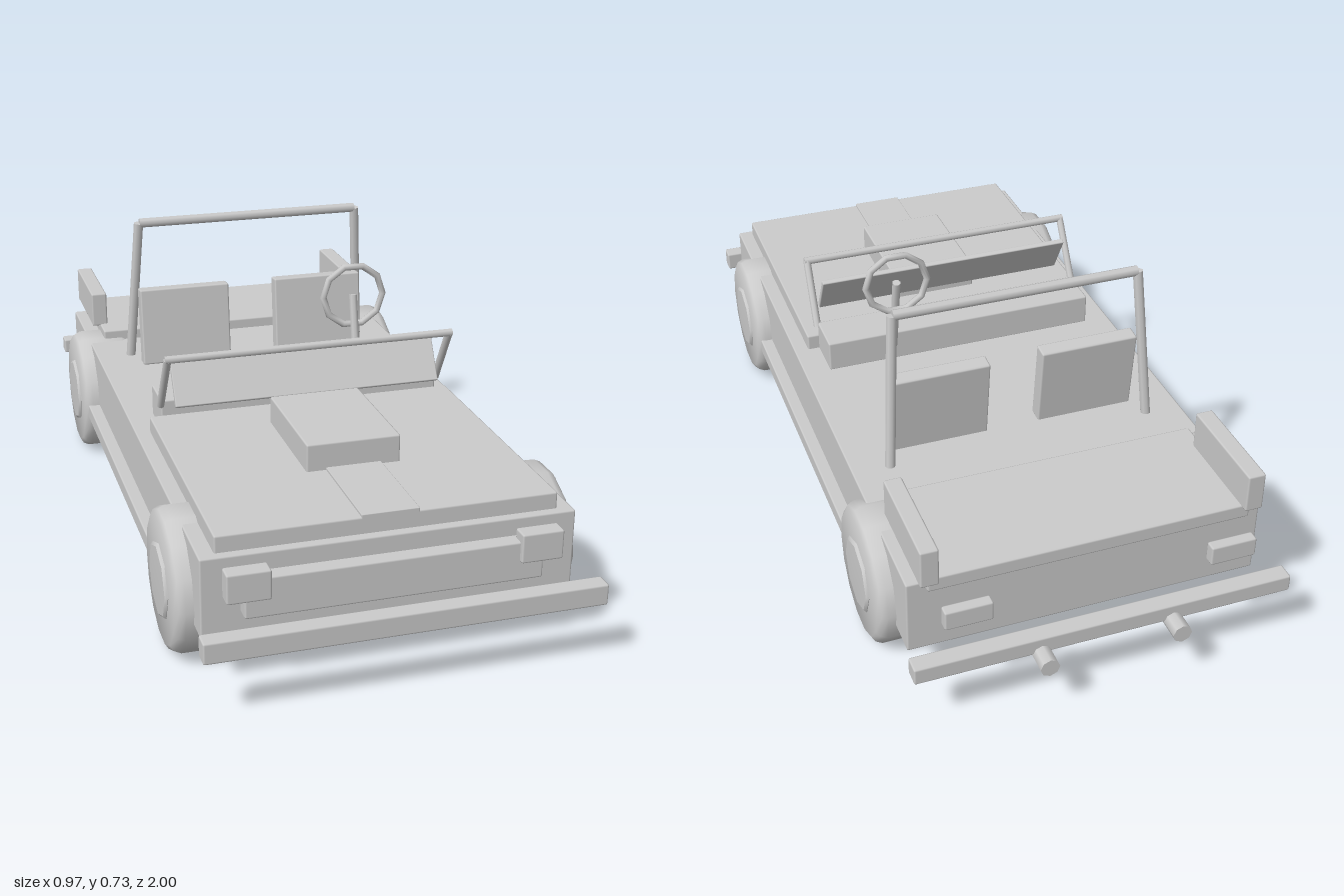
import * as THREE from 'three';
import { RoundedBoxGeometry } from 'three/addons/geometries/RoundedBoxGeometry.js';
import { toCreasedNormals } from 'three/addons/utils/BufferGeometryUtils.js';

const material = new THREE.MeshStandardMaterial({ color: 0xcccccc });

export function createModel() {
  const model = new THREE.Group();

  function add(name, geometry, parent = model) {
    const mesh = new THREE.Mesh(geometry, material);
    mesh.name = name;
    parent.add(mesh);
    return mesh;
  }

  // Softly bevelled box given by its limits on each axis
  function box(name, [x0, x1], [y0, y1], [z0, z1], bevel = 0.005) {
    const mesh = add(name, new RoundedBoxGeometry(x1 - x0, y1 - y0, z1 - z0, 1, bevel));
    mesh.position.set((x0 + x1) / 2, (y0 + y1) / 2, (z0 + z1) / 2);
    return mesh;
  }

  // Round bar between two points
  function bar(name, from, to, radius) {
    const a = new THREE.Vector3(...from), b = new THREE.Vector3(...to);
    const mesh = add(name, new THREE.CylinderGeometry(radius, radius, a.distanceTo(b), 8));
    mesh.position.copy(a).lerp(b, 0.5);
    mesh.quaternion.setFromUnitVectors(new THREE.Vector3(0, 1, 0), b.sub(a).normalize());
    return mesh;
  }

  const both = (x0, x1, s) => (s > 0 ? [x0, x1] : [-x1, -x0]);

  // Body, hood and rear deck
  box('body', [-0.432, 0.432], [0.135, 0.328], [-0.82, 0.867]);
  box('hood', [-0.395, 0.395], [0.32, 0.368], [0.165, 0.847]);
  box('hoodStrip', [-0.067, 0.067], [0.36, 0.374], [0.3, 0.847], 0.002);
  box('hoodBox', [-0.114, 0.114], [0.36, 0.435], [0.28, 0.592]);
  box('rearDeck', [-0.39, 0.39], [0.32, 0.357], [-0.847, -0.53]);
  box('dashboard', [-0.365, 0.365], [0.325, 0.407], [0.05, 0.167]);

  // Front and rear fittings
  box('grille', [-0.343, 0.343], [0.19, 0.285], [0.86, 0.902]);
  box('frontBumper', [-0.457, 0.457], [0.155, 0.206], [0.957, 1]);
  box('rearBumper', [-0.457, 0.457], [0.163, 0.206], [-0.952, -0.908]);

  for (const s of [1, -1]) {
    box('sill', both(0.42, 0.463, s), [0.137, 0.18], [-0.5, 0.58]);
    box('headlight', both(0.285, 0.385, s), [0.236, 0.307], [0.872, 0.913]);
    box('tailLight', both(0.262, 0.375, s), [0.265, 0.315], [-0.918, -0.89]);
    box('rearSideBox', both(0.368, 0.412, s), [0.352, 0.45], [-0.865, -0.597]);
    bar('exhaust', [s * 0.16, 0.162, -1], [s * 0.16, 0.162, -0.893], 0.023);

    // Seat backs lean slightly to the rear
    const seat = box('seatBack', both(0.067, 0.318, s), [0.325, 0.538], [-0.352, -0.31]);
    seat.rotation.x = -0.1;

    // Side posts of the roll bar and windscreen frame
    bar('rollBarPost', [s * 0.337, 0.325, -0.398], [s * 0.31, 0.722, -0.355], 0.013);
    bar('windscreenPost', [s * 0.366, 0.395, 0.165], [s * 0.363, 0.547, 0.255], 0.01);
  }
  bar('rollBarTop', [-0.308, 0.722, -0.355], [0.308, 0.722, -0.355], 0.013);
  bar('windscreenTop', [-0.37, 0.547, 0.255], [0.37, 0.547, 0.255], 0.01);

  // Screen panel tilted back across its frame
  const panel = box('windscreenPanel', [-0.343, 0.343], [0.405, 0.528], [0.2, 0.214], 0.003);
  panel.rotation.x = -0.52;

  // Steering wheel and column
  const steering = add('steeringWheel', new THREE.TorusGeometry(0.082, 0.009, 8, 10));
  steering.position.set(0.19, 0.583, 0.005);
  bar('steeringColumn', [0.19, 0.37, 0.05], [0.19, 0.585, 0.005], 0.011);

  // Wheels: bevelled tyre with a shallow domed hub on each side
  const lathe = (points, sides) => toCreasedNormals(
    new THREE.LatheGeometry(points.map(p => new THREE.Vector2(...p)), sides), 0.7);
  const tyre = lathe([[0, -0.078], [0.15, -0.078], [0.163, -0.07], [0.17, -0.055],
    [0.17, 0.055], [0.163, 0.07], [0.15, 0.078], [0, 0.078]], 14);
  const hub = lathe([[0, -0.088], [0.085, -0.085], [0.092, -0.079],
    [0.092, 0.079], [0.085, 0.085], [0, 0.088]], 8);
  for (const z of [0.642, -0.572]) {
    for (const s of [1, -1]) {
      const wheel = new THREE.Group();
      wheel.name = z > 0 ? 'frontWheel' : 'rearWheel';
      add('tyre', tyre, wheel);
      add('hub', hub, wheel);
      wheel.position.set(s * 0.395, 0.17, z);
      wheel.rotation.z = Math.PI / 2;
      model.add(wheel);
    }
  }
  return model;
}
